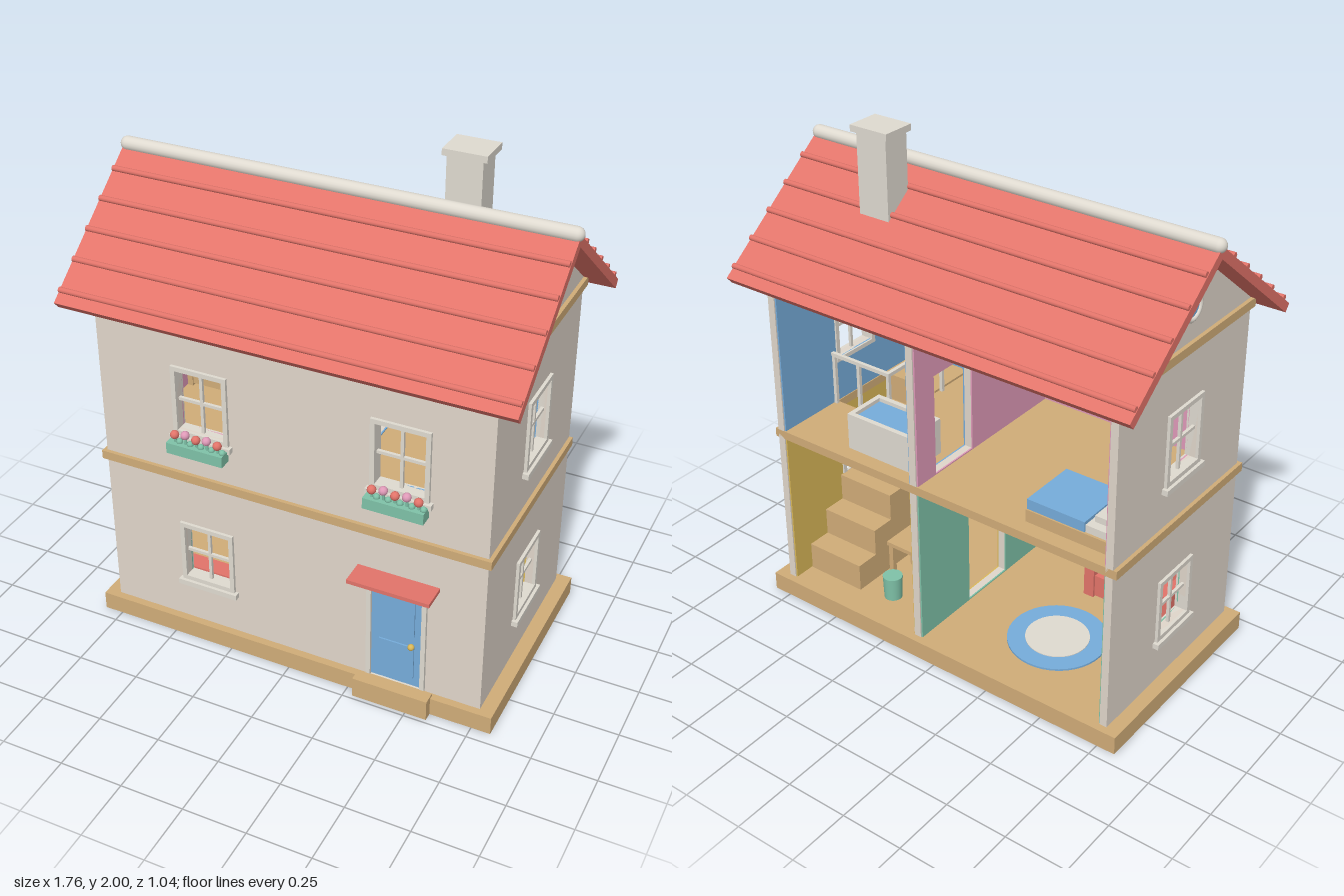
import * as THREE from 'three';

const mat = (name, color) => Object.assign(new THREE.MeshStandardMaterial({ color }), { name });

export function createModel() {
  const M = {
    wall: mat('wall cream', 0xe0d6ca), trim: mat('trim grey white', 0xdfdad0), red: mat('roof red', 0xe2746a),
    blue: mat('blue', 0x76acda), wood: mat('wood tan', 0xd0ac78), yellow: mat('yellow', 0xdab858),
    green: mat('green', 0x7fc2a8), pink: mat('pink', 0xdf9ab8), 
  };
  const house = new THREE.Group();
  house.name = 'dollhouse';

  const add = (name, geo, m, x = 0, y = 0, z = 0, parent = house) => {
    const mesh = new THREE.Mesh(geo, m);
    mesh.name = name;
    mesh.position.set(x, y, z);
    parent.add(mesh);
    return mesh;
  };
  // box given by its limits
  const box = (name, m, x0, x1, y0, y1, z0, z1, parent) =>
    add(name, new THREE.BoxGeometry(x1 - x0, y1 - y0, z1 - z0), m, (x0 + x1) / 2, (y0 + y1) / 2, (z0 + z1) / 2, parent);
  const rect = (a, b, c, d) => [[a, c], [b, c], [b, d], [a, d]];
  // flat extruded panel with rectangular holes
  const panelGeo = (pts, holes, depth) => {
    const v = (p) => p.map(([a, b]) => new THREE.Vector2(a, b));
    const s = new THREE.Shape(v(pts));
    holes.forEach((h) => s.holes.push(new THREE.Path(v(h))));
    return new THREE.ExtrudeGeometry(s, { depth, bevelEnabled: false, curveSegments: 24 });
  };
  // panel in the z-y plane, running from x back to x - depth
  const sidePanel = (name, m, x, pts, holes, depth) =>
    add(name, panelGeo(pts, holes, depth).rotateY(-Math.PI / 2), m, x);

  // base, doorstep, floors
  box('base', M.wood, -0.825, 0.825, 0, 0.075, -0.45, 0.45);
  box('doorstep', M.wood, 0.285, 0.585, 0, 0.085, 0.43, 0.485);
  add('upperFloor', panelGeo(rect(-0.785, 0.785, -0.42, 0.435), [rect(0.46, 0.73, -0.12, 0.36)], 0.035)
    .rotateX(Math.PI / 2), M.wood, 0, 0.765, 0);
  box('atticFloor', M.wood, -0.785, 0.785, 1.42, 1.455, -0.43, 0.43);

  // windows: opening rectangles shared by walls, linings and frames
  const W = 0.225, E = 0.018;
  const rows = [[0.265, 0.53], [0.935, 1.22]];
  const opening = (c, [a, b]) => rect(c - W / 2 + E, c + W / 2 - E, a + E, b - E);
  const doorHole = rect(0.333, 0.533, 0.08, 0.517);
  const frontHoles = [opening(-0.35, rows[0]), opening(-0.35, rows[1]), opening(0.433, rows[1]), doorHole];
  const sideHoles = rows.map((r) => opening(0, r));

  const makeWindow = ([a, b]) => {
    const g = new THREE.Group();
    g.name = 'window';
    add('windowFrame', panelGeo(rect(-W / 2, W / 2, a, b), [opening(0, [a, b])], 0.055), M.trim, 0, 0, -0.043, g);
    box('windowBarUpright', M.trim, -0.006, 0.006, a, b, -0.02, -0.008, g);
    box('windowBarCross', M.trim, -W / 2, W / 2, (a + b) / 2 - 0.006, (a + b) / 2 + 0.006, -0.02, -0.008, g);
    box('windowSill', M.trim, -0.125, 0.125, a - 0.022, a, 0, 0.024, g);
    house.add(g);
    return g;
  };
  [[-0.35, 0], [-0.35, 1], [0.433, 1]].forEach(([x, r]) => makeWindow(rows[r]).position.set(x, 0, 0.42));
  for (const s of [-1, 1]) rows.forEach((r) => {
    const g = makeWindow(r);
    g.position.x = s * 0.77;
    g.rotation.y = s * Math.PI / 2;
  });

  // outer walls, open at the back
  add('frontWall', panelGeo(rect(-0.77, 0.77, 0.075, 1.42), frontHoles, 0.03), M.wall, 0, 0, 0.39);
  for (const x of [0.77, -0.74]) {
    sidePanel('sideWall', M.wall, x, rect(-0.42, 0.39, 0.075, 1.42), sideHoles, 0.03);
    sidePanel('gable', M.wall, x, [[-0.42, 1.455], [0.42, 1.455], [0, 1.786]], [], 0.03);
  }
  // inner wall faces and partitions, floor by floor
  const floors = [
    { y0: 0.075, y1: 0.73, left: M.yellow, right: M.green, door: rect(-0.12, 0.12, 0.08, 0.48), row: 0 },
    { y0: 0.765, y1: 1.42, left: M.blue, right: M.pink, door: rect(-0.31, -0.09, 0.77, 1.18), row: 1 },
  ];
  for (const f of floors) {
    const side = rect(-0.415, 0.39, f.y0, f.y1), L = 0.006;
    sidePanel('partition', M.wall, 0.115, rect(-0.42, 0.39, f.y0, f.y1), [f.door], 0.03);
    sidePanel('liningPartitionLeft', f.left, 0.115 + L, side, [f.door], L);
    sidePanel('liningPartitionRight', f.right, 0.085, side, [f.door], L);
    sidePanel('liningLeft', f.left, 0.74, side, [sideHoles[f.row]], L);
    sidePanel('liningRight', f.right, -0.734, side, [sideHoles[f.row]], L);
    add('liningFrontLeft', panelGeo(rect(0.12, 0.735, f.y0, f.y1), [f.row ? frontHoles[2] : doorHole], L), f.left, 0, 0, 0.384);
    add('liningFrontRight', panelGeo(rect(-0.735, 0.08, f.y0, f.y1), [frontHoles[f.row]], L), f.right, 0, 0, 0.384);
  }

  // front door with frame, panels, knob and canopy
  add('doorFrame', panelGeo(rect(0.315, 0.551, 0.076, 0.535), [doorHole], 0.03), M.trim, 0, 0, 0.403);
  box('door', M.blue, 0.333, 0.533, 0.085, 0.517, 0.392, 0.422);
  for (const [a, b] of [[0.125, 0.27], [0.32, 0.48]]) box('doorPanel', M.blue, 0.365, 0.505, a, b, 0.422, 0.428);
  add('doorKnob', new THREE.SphereGeometry(0.013, 14, 10), M.yellow, 0.497, 0.278, 0.435);
  box('doorCanopy', M.red, 0.275, 0.595, 0.56, 0.576, 0.42, 0.52);

  // flower boxes under the upper front windows
  for (const cx of [-0.35, 0.433]) {
    box('flowerBox', M.green, cx - 0.115, cx + 0.115, 0.88, 0.924, 0.435, 0.485);
    for (let i = 0; i < 5; i++) {
      const x = cx + (i - 2) * 0.044, y = 0.955 + (i % 2) * 0.008;
      add('stem', new THREE.CylinderGeometry(0.005, 0.005, 0.04, 6), M.green, x, 0.935, 0.462);
      add('leaf', new THREE.SphereGeometry(0.013, 8, 6), M.green, x + 0.018, 0.928, 0.462);
      add('flower', new THREE.SphereGeometry(0.017, 12, 8), i % 2 ? M.pink : M.red, x, y, 0.465);
    }
  }

  // roof, tile ribs, ridge, attic windows
  const chevron = [[0, 1.83], [-0.52, 1.42], [-0.497, 1.393], [0, 1.785], [0.497, 1.393], [0.52, 1.42]];
  sidePanel('roof', M.red, 0.87, chevron, [], 1.74);
  for (const s of [-1, 1]) for (let i = 0; i < 5; i++) {
    const z = 0.09 + i * 0.098;
    add('tileRib', new THREE.CylinderGeometry(0.011, 0.011, 1.736, 10).rotateZ(Math.PI / 2), M.red, 0, 1.836 - 0.788 * z, s * z);
  }
  add('ridge', new THREE.CapsuleGeometry(0.027, 1.71, 8, 18).rotateZ(Math.PI / 2), M.trim, 0, 1.83, 0);
  for (const s of [-1, 1]) {
    add('atticGlass', new THREE.CylinderGeometry(0.048, 0.048, 0.008, 32).rotateZ(Math.PI / 2), M.blue, s * 0.772, 1.59, 0);
    add('atticFrame', new THREE.TorusGeometry(0.05, 0.01, 10, 32).rotateY(Math.PI / 2), M.trim, s * 0.774, 1.59, 0);
  }
  box('chimney', M.trim, 0.352, 0.485, 1.6, 1.976, -0.208, -0.096);
  box('chimneyCap', M.trim, 0.338, 0.503, 1.975, 2, -0.22, -0.085);

  // stairs rising to the front, with a railing around the stairwell
  for (let i = 0; i < 6; i++)
    box('stair', M.wood, 0.47, 0.73, 0.075, 0.075 + 0.115 * (i + 1), -0.33 + i * 0.1, i === 5 ? 0.36 : -0.23 + i * 0.1);
  box('railSide', M.trim, 0.442, 0.458, 0.975, 0.99, -0.14, 0.2);
  box('railEnd', M.trim, 0.442, 0.734, 0.975, 0.99, -0.14, -0.125);
  for (const [x, z] of [[0.45, -0.132], [0.45, 0.03], [0.45, 0.19], [0.6, -0.132], [0.725, -0.132]])
    box('railPost', M.trim, x - 0.007, x + 0.007, 0.765, 0.975, z - 0.007, z + 0.007);

  // table with fruit, and stool
  box('tableTop', M.wood, 0.255, 0.425, 0.245, 0.262, -0.21, -0.05);
  for (const x of [0.27, 0.41]) for (const z of [-0.195, -0.065]) box('tableLeg', M.wood, x - 0.01, x + 0.01, 0.075, 0.245, z - 0.01, z + 0.01);
  add('fruit', new THREE.SphereGeometry(0.02, 14, 10), M.red, 0.32, 0.28, -0.12);
  add('stool', new THREE.CylinderGeometry(0.04, 0.036, 0.1, 20), M.green, 0.34, 0.125, -0.28);

  // rug and sofa
  add('rug', new THREE.CylinderGeometry(0.195, 0.195, 0.008, 40), M.blue, -0.34, 0.079, -0.11);
  add('rugCentre', new THREE.CylinderGeometry(0.125, 0.125, 0.008, 40), M.trim, -0.34, 0.082, -0.11);
  box('sofaSeat', M.red, -0.64, -0.28, 0.085, 0.18, 0.19, 0.37);
  box('sofaBack', M.red, -0.64, -0.28, 0.085, 0.29, 0.325, 0.38);
  for (const x of [-0.65, -0.31]) box('sofaArm', M.red, x, x + 0.045, 0.08, 0.225, 0.18, 0.37);

  // bathtub with water
  add('bathtub', panelGeo(rect(0.16, 0.46, -0.36, -0.18), [rect(0.18, 0.44, -0.34, -0.2)], 0.15).rotateX(Math.PI / 2), M.trim, 0, 0.915, 0);
  box('bathWater', M.blue, 0.18, 0.44, 0.77, 0.9, -0.34, -0.2);

  // bed
  box('bedFrame', M.wood, -0.72, -0.37, 0.775, 0.825, -0.37, -0.12);
  box('mattress', M.trim, -0.71, -0.38, 0.825, 0.855, -0.36, -0.13);
  box('blanket', M.blue, -0.615, -0.373, 0.827, 0.868, -0.366, -0.124);
  box('pillow', M.trim, -0.705, -0.63, 0.855, 0.88, -0.325, -0.165);
  box('headboard', M.wood, -0.733, -0.71, 0.765, 0.945, -0.375, -0.115);

  // framed pictures on the right wall
  for (const [y, m] of [[1.2, M.blue], [0.48, M.yellow]]) {
    box('pictureFrame', M.wood, -0.734, -0.724, y - 0.075, y + 0.075, -0.28, -0.145);
    box('picture', m, -0.726, -0.721, y - 0.058, y + 0.058, -0.263, -0.162);
  }
  return house;
}
